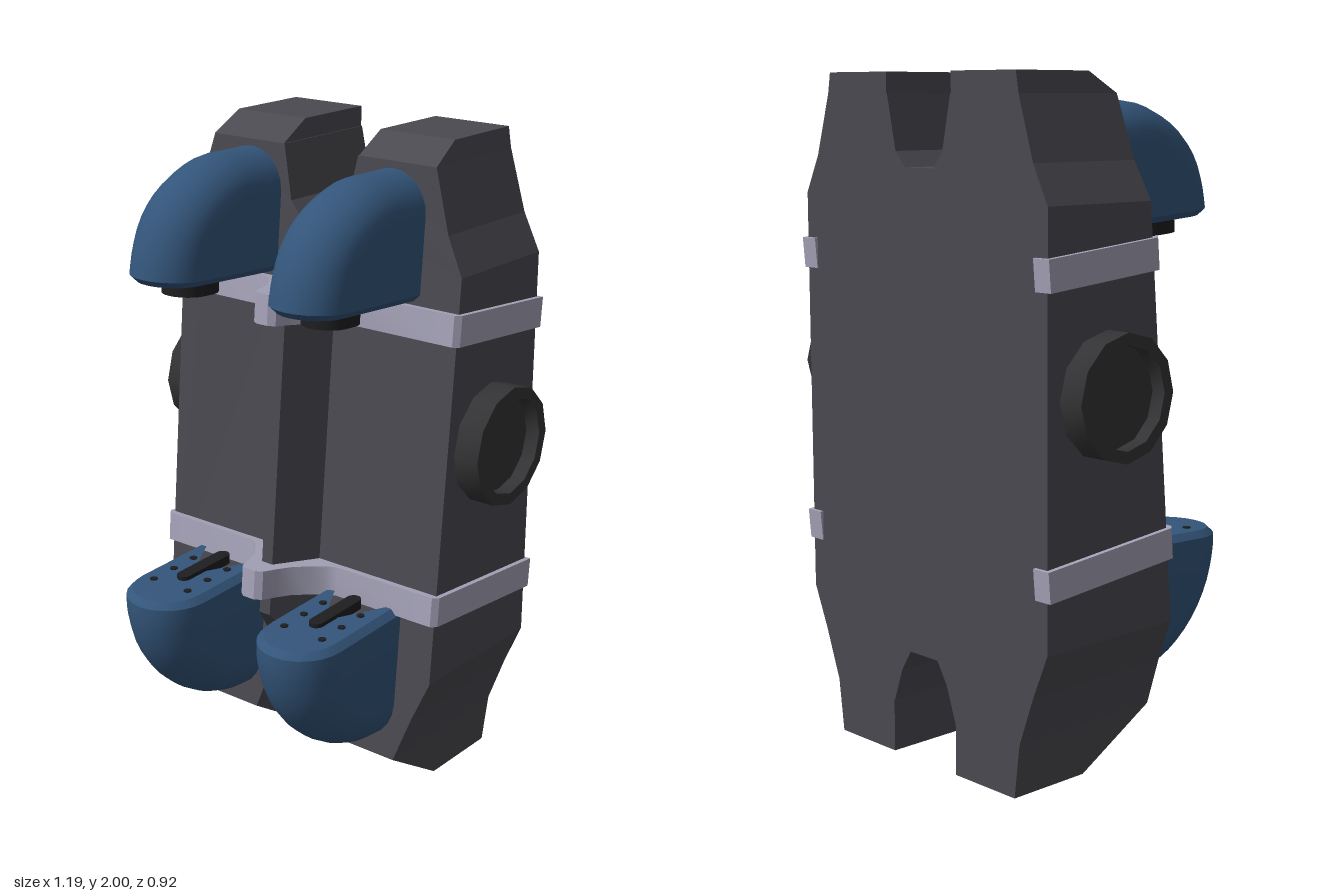
import * as THREE from 'three';
import { toCreasedNormals } from 'three/addons/utils/BufferGeometryUtils.js';

const paint = (color) => new THREE.MeshStandardMaterial({ color });
const BODY = paint(0x4a4950), STRAP = paint(0xa5a3b8), RING = paint(0x333335);
const BLUE = paint(0x33557a), BLACK = paint(0x1e1e20);
const SLOPE = 0.085, BACK = -0.45;

// Leaning front face, with chamfers at the bottom and the top
function frontZ(y) {
  if (y < 0.16) return -0.18 + (y / 0.16) * 0.25;
  if (y > 1.94) return -0.08 - ((y - 1.94) / 0.06) * 0.1;
  return 0.07 - (y - 0.16) * SLOPE;
}

function add(parent, name, geometry, material) {
  const mesh = new THREE.Mesh(geometry, material);
  mesh.name = name;
  parent.add(mesh);
  return mesh;
}

const shapeOf = (pts) => new THREE.Shape(pts.map(([x, y]) => new THREE.Vector2(x, y)));
const mirrored = (half) => [...half, ...half.map(([x, y]) => [-x, y]).reverse()];

// Slab with the outline in x, y, running from the flat back to the leaning front
function slab(pts) {
  const geo = new THREE.ExtrudeGeometry(shapeOf(pts), { depth: 1, bevelEnabled: false });
  const p = geo.attributes.position;
  for (let i = 0; i < p.count; i++) p.setZ(i, p.getZ(i) > 0.5 ? frontZ(p.getY(i)) : BACK);
  geo.computeVertexNormals();
  return geo;
}

// Raised spine with a narrow front and slanted ends
function spine() {
  const geo = new THREE.BoxGeometry(2, 2, 2).toNonIndexed();
  const p = geo.attributes.position;
  for (let i = 0; i < p.count; i++) {
    const front = p.getZ(i) > 0, top = p.getY(i) > 0;
    const y = front ? (top ? 1.63 : 0.57) : (top ? 1.69 : 0.39);
    p.setXYZ(i, p.getX(i) * (front ? 0.02 : 0.09), y, frontZ(y) + (front ? 0.15 : -0.02));
  }
  geo.computeVertexNormals();
  return geo;
}

// Band around the sides and front, bulging over the spine
function strap(back) {
  const pts = mirrored([
    [0.47, back + 0.05], [0.47, back], [0.53, back], [0.53, 0.005], [0.515, 0.022],
    [0.17, 0.024], [0.14, 0.04], [0.11, 0.075], [0.075, 0.12], [0.055, 0.17],
    [0.04, 0.215], [0.02, 0.23],
  ]);
  const geo = new THREE.ExtrudeGeometry(shapeOf(pts), { depth: 0.09, bevelEnabled: false });
  geo.translate(0, 0, -0.045).rotateX(Math.PI / 2).rotateX(-SLOPE);
  return toCreasedNormals(geo, 0.5);
}

// Elbow hood: rounded U sections fanned around a pivot, closed by a bevelled mouth.
// Outline and pivot are [z, y]; mouth is -1 when it opens down and 1 when it opens up.
function hood(outline, pivot, w, mouth) {
  const curve = new THREE.CatmullRomCurve3(outline.map(([z, y]) => new THREE.Vector3(0, y, z)));
  const path = curve.getPoints(16);
  const N = 12, cols = N + 3, pos = [], index = [];
  const row = (tip, half, lift, shut) => {
    const dz = tip.z - pivot[0], dy = tip.y - pivot[1], R = Math.hypot(dz, dy);
    for (let j = 0; j < cols; j++) {
      let x, rho;
      if (j === 0 || j === cols - 1) {
        x = j ? half : -half;
        rho = 0;
      } else {
        const a = ((j - 1) / N) * Math.PI;
        x = -Math.cos(a) * half;
        rho = R - half + Math.sin(a) * half;
      }
      if (shut) { x = 0; rho = R / 2; }
      pos.push(-mouth * x, pivot[1] + (dy * rho) / R + lift, pivot[0] + (dz * rho) / R);
    }
  };
  const lip = path[0].clone();
  lip.z -= 0.02;
  row(lip, w - 0.02, mouth * 0.02, true);
  row(lip, w - 0.02, mouth * 0.02);
  path.forEach((tip) => row(tip, w, 0));
  for (let i = 0; i < path.length + 1; i++) {
    for (let j = 0; j < cols - 1; j++) {
      const a = i * cols + j, b = a + 1, c = b + cols, d = a + cols;
      index.push(a, b, c, a, c, d);
    }
  }
  const geo = new THREE.BufferGeometry();
  geo.setAttribute('position', new THREE.Float32BufferAttribute(pos, 3));
  geo.setIndex(index);
  return toCreasedNormals(geo, 0.6);
}

// Rounded bar lying along z
function slot(width, length, height) {
  const r = width / 2, s = length / 2 - r, shape = new THREE.Shape();
  shape.absarc(0, s, r, 0, Math.PI);
  shape.absarc(0, -s, r, Math.PI, Math.PI * 2);
  const geo = new THREE.ExtrudeGeometry(shape, { depth: height, bevelEnabled: false, curveSegments: 6 });
  geo.translate(0, 0, -height / 2).rotateX(Math.PI / 2);
  return toCreasedNormals(geo, 0.6);
}

export function createModel() {
  const model = new THREE.Group();
  model.name = 'armouredPack';

  // Main body with a notch at the top and bottom
  const half = [
    [0.06, 0.325], [0.1, 0.26], [0.135, 0.16], [0.405, 0.16], [0.46, 0.31], [0.515, 0.44],
    [0.515, 1.65], [0.46, 1.76], [0.405, 1.94], [0.135, 1.94], [0.1, 1.78], [0.06, 1.735],
  ];
  add(model, 'body', slab(mirrored(half)), BODY);
  add(model, 'spine', spine(), BODY);

  // Straps
  for (const [name, y] of [['upperStrap', 1.505], ['lowerStrap', 0.675]]) {
    const z = frontZ(y);
    add(model, name, strap(BACK - 0.008 - z), STRAP).position.set(0, y, z);
  }

  const upperLine = [[0.4, 1.61], [0.385, 1.68], [0.35, 1.765], [0.29, 1.835],
    [0.2, 1.89], [0.1, 1.92], [0, 1.92], [-0.1, 1.92]];
  const lowerLine = [[0.455, 0.612], [0.452, 0.55], [0.42, 0.44], [0.35, 0.335],
    [0.25, 0.255], [0.15, 0.215], [0.05, 0.203]];

  for (const s of [1, -1]) {
    const side = s > 0 ? 'left' : 'right';

    // Chamfered tips of the body
    for (const [name, y0, y1, x0, x1] of [
      ['FootTip', 0, 0.16, 0.385, 0.405], ['ShoulderTip', 1.94, 2, 0.405, 0.395]]) {
      const pts = [[0.138, y0], [x0, y0], [x1, y1], [0.138, y1]].map(([x, y]) => [s * x, y]);
      add(model, side + name, slab(pts), BODY);
    }

    // Side port with a sunken centre
    const profile = [[0, 0.55], [0.145, 0.55], [0.145, 0.595], [0.18, 0.595], [0.18, 0.5]];
    const port = new THREE.LatheGeometry(
      profile.map(([r, h]) => new THREE.Vector2(r, h)).reverse(), 12);
    port.rotateZ(-s * Math.PI / 2);
    add(model, side + 'Port', toCreasedNormals(port, 0.6), RING).position.set(0, 1.13, -0.225);

    // Hoods and the vents in their mouths
    const upper = new THREE.Group(), lower = new THREE.Group();
    upper.name = side + 'UpperHood';
    lower.name = side + 'LowerHood';
    upper.position.x = lower.position.x = s * 0.26;
    model.add(upper, lower);

    add(upper, 'upperShell', hood(upperLine, [-0.07, 1.58], 0.12, -1), BLUE);
    const nozzle = add(upper, 'nozzle', slot(0.14, 0.18, 0.06), BLACK);
    nozzle.position.set(0, 1.565, 0.2);
    nozzle.rotation.x = -0.064;

    add(lower, 'lowerShell', hood(lowerLine, [0.015, 0.63], 0.135, 1), BLUE);
    const vent = add(lower, 'ventSlot', slot(0.045, 0.22, 0.03), BLACK);
    vent.position.set(0, 0.641, 0.17);
    vent.rotation.x = 0.043;
    for (const x of [-0.07, 0.07]) {
      for (const z of [0.14, 0.23, 0.32]) {
        const hole = new THREE.CylinderGeometry(0.012, 0.012, 0.01, 8);
        add(lower, 'ventHole', hole, BLACK).position.set(x, 0.649 - (z - 0.015) * 0.043, z);
      }
    }
  }
  return model;
}
